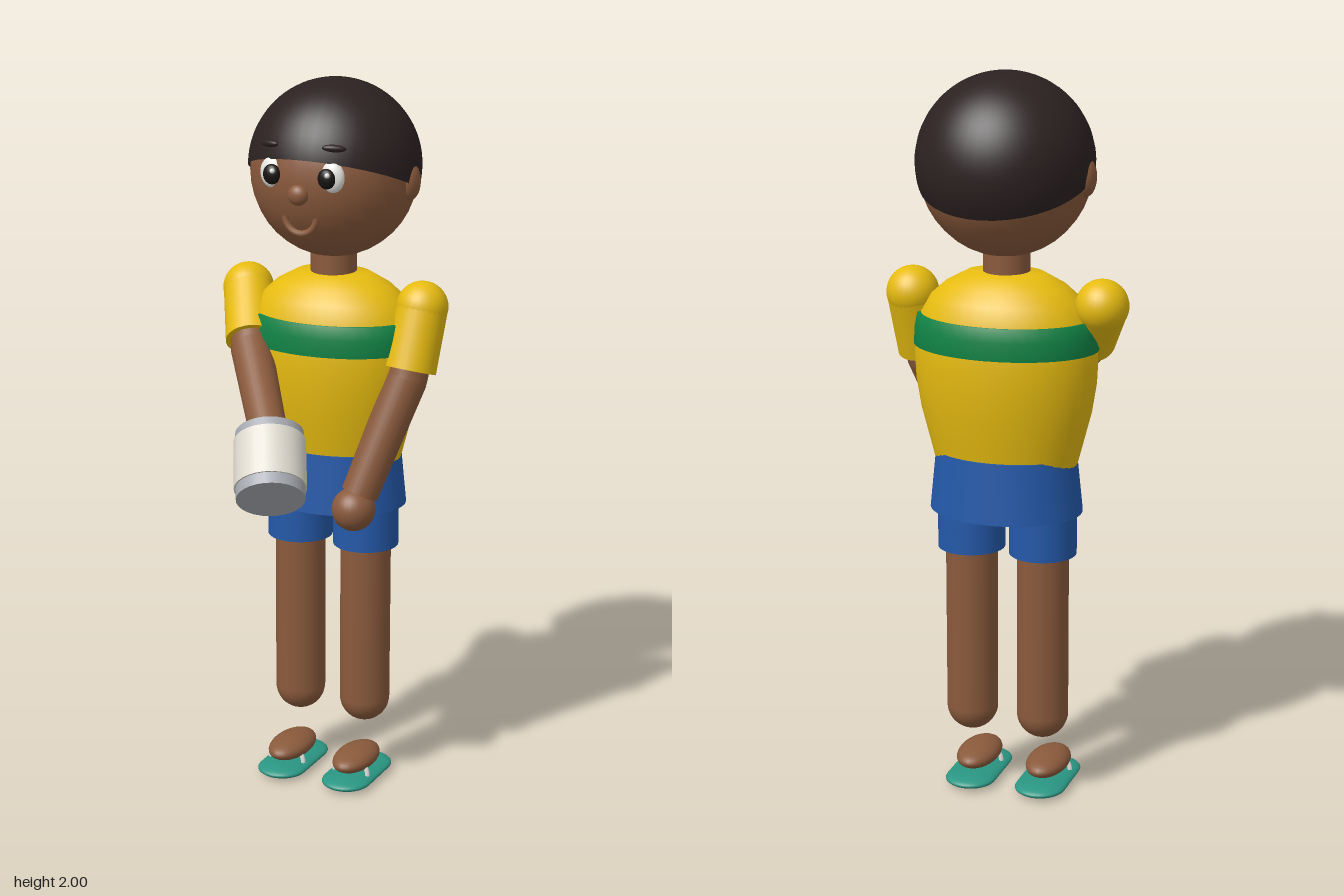
import * as THREE from 'three';

const material = (name, color) => {
  const m = new THREE.MeshStandardMaterial({ color });
  m.name = name;
  return m;
};

export function createModel() {
  const skin = material('skin', 0x8a5a3c);
  const hair = material('hair', 0x2c2121);
  const yellow = material('yellow', 0xe6bb10);
  const green = material('green', 0x118446);
  const blue = material('blue', 0x2459a9);
  const teal = material('teal', 0x2a9683);
  const cream = material('cream', 0xdedacf);
  const grey = material('grey', 0xa6a9b0);
  const white = material('white', 0xf4f4f0);
  const black = material('black', 0x181313);
  hair.side = yellow.side = green.side = THREE.DoubleSide;

  const model = new THREE.Group();
  model.name = 'figure';
  const Z = -0.145; // body axis depth
  const V = (x, y, z) => new THREE.Vector3(x, y, z);

  const add = (name, geo, mat, pos, parent = model) => {
    const m = new THREE.Mesh(geo, mat);
    m.name = name;
    m.position.set(...pos);
    parent.add(m);
    return m;
  };
  const ball = (name, mat, pos, rx, ry = rx, rz = rx) => {
    const m = add(name, new THREE.SphereGeometry(1, 28, 20), mat, pos);
    m.scale.set(rx, ry, rz);
    return m;
  };
  const lathe = (name, mat, pts, depth) => {
    const geo = new THREE.LatheGeometry(pts.map(p => new THREE.Vector2(...p)), 40);
    const m = add(name, geo, mat, [0, 0, Z]);
    m.scale.z = depth;
    return m;
  };
  // Tapered cylinder running from a to b
  const limb = (name, mat, a, b, ra, rb) => {
    const d = b.clone().sub(a);
    const m = add(name, new THREE.CylinderGeometry(rb, ra, d.length(), 28), mat,
      a.clone().add(b).multiplyScalar(0.5).toArray());
    m.quaternion.setFromUnitVectors(V(0, 1, 0), d.normalize());
    return m;
  };

  // Head, tilted hair cap and neck
  ball('head', skin, [0, 1.752, Z], 0.229, 0.236, 0.229);
  const cap = add('hair', new THREE.SphereGeometry(0.236, 40, 24, 0, Math.PI * 2, 0, Math.PI * 0.55),
    hair, [0, 1.764, Z - 0.003]);
  cap.rotation.x = -0.366;
  add('neck', new THREE.CylinderGeometry(0.063, 0.063, 0.14, 28), skin, [0, 1.5, -0.14]);

  // Face
  for (const s of [-1, 1]) {
    ball('ear', skin, [s * 0.222, 1.735, -0.15], 0.025, 0.05, 0.037);
    ball('eye', white, [s * 0.086, 1.77, 0.055], 0.036, 0.043, 0.022);
    ball('pupil', black, [s * 0.08, 1.768, 0.074], 0.025, 0.027, 0.016);
    ball('eyeGlint', white, [s * 0.08 + 0.009, 1.78, 0.09], 0.007);
    const brow = ball('eyebrow', hair, [s * 0.094, 1.847, 0.058], 0.032, 0.01, 0.011);
    brow.rotation.set(0, s * 0.4, s * -0.06);
  }
  ball('nose', skin, [0, 1.72, 0.08], 0.029, 0.028, 0.022);
  const smile = add('mouth', new THREE.TorusGeometry(0.046, 0.009, 10, 24, Math.PI), skin, [0, 1.66, 0.065]);
  smile.rotation.z = Math.PI;

  // Shirt with a chest stripe, and shorts
  lathe('shirt', yellow, [[0.196, 0.955], [0.213, 1.02], [0.234, 1.1], [0.247, 1.18], [0.25, 1.24],
    [0.248, 1.3], [0.232, 1.36], [0.205, 1.405], [0.165, 1.44], [0.105, 1.472], [0, 1.477]], 0.72);
  lathe('chestStripe', green, [[0.244, 1.272], [0.253, 1.272], [0.25, 1.32], [0.243, 1.357], [0.23, 1.357]], 0.72);
  lathe('shorts', blue, [[0, 0.82], [0.21, 0.82], [0.193, 0.985], [0, 0.985]].flatMap((p, i) =>
    i === 1 || i === 2 ? [p, p] : [p]), 0.8);

  // Legs, feet and sandals
  for (const s of [-1, 1]) {
    const x = s * 0.102;
    add('shortsLeg', new THREE.CylinderGeometry(0.092, 0.092, 0.16, 28), blue, [x, 0.78, -0.14]);
    add('leg', new THREE.CapsuleGeometry(0.071, 0.48, 10, 28), skin, [x, 0.476, -0.14]);
    ball('foot', skin, [x, 0.066, -0.085], 0.058, 0.032, 0.103);
    const sole = add('sandalSole', new THREE.CapsuleGeometry(0.071, 0.138, 10, 28), teal, [x, 0.018, -0.09]);
    sole.rotation.x = Math.PI / 2;
    sole.scale.z = 0.25; // flattened vertically
    const strap = add('sandalStrap', new THREE.TorusGeometry(0.052, 0.007, 8, 24, Math.PI), white, [x, 0.03, -0.05]);
    strap.scale.y = 0.9;
  }

  // Arms: ball shoulder, sleeve, bent forearm and hand
  const arm = (shoulder, cuff, elbow, wrist, hand) => {
    ball('shoulder', yellow, shoulder.toArray(), 0.071);
    limb('sleeve', yellow, shoulder, cuff, 0.07, 0.072);
    ball('elbow', skin, elbow.toArray(), 0.056);
    limb('upperArm', skin, shoulder, elbow, 0.056, 0.056);
    limb('forearm', skin, elbow, wrist, 0.057, 0.051);
    ball('hand', skin, hand.toArray(), 0.06);
  };
  arm(V(0.265, 1.398, -0.14), V(0.252, 1.232, -0.09), V(0.247, 1.21, -0.083),
    V(0.158, 0.9, 0.025), V(0.148, 0.86, 0.042));
  const grip = V(0.005, 1.024, 0.26);
  arm(V(-0.265, 1.398, -0.145), V(-0.197, 1.28, -0.03), V(-0.188, 1.262, -0.01),
    V(-0.022, 1.08, 0.207), grip);

  // Tin drum held at the end of the right arm
  const axis = V(0.5, -1, 0.95).normalize();
  const at = t => grip.clone().addScaledVector(axis, t);
  limb('tinBody', cream, at(-0.075), at(0.068), 0.097, 0.097);
  limb('tinTopRim', grey, at(-0.1), at(-0.07), 0.092, 0.093);
  limb('tinBottomRim', grey, at(0.063), at(0.1), 0.093, 0.092);

  return model;
}
